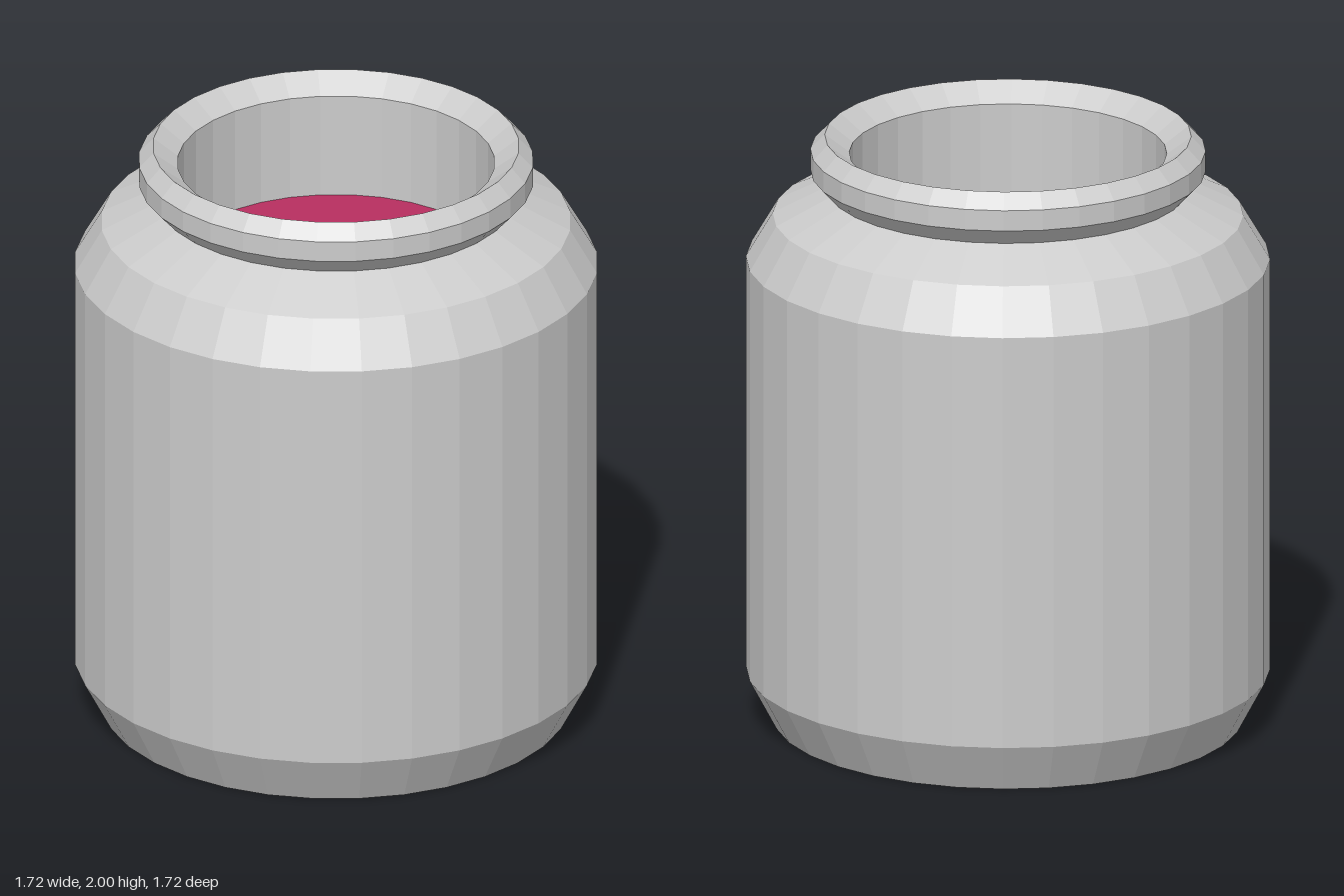
import * as THREE from 'three';

const SIDES = 32;
const material = (color) => new THREE.MeshStandardMaterial({ color, flatShading: true });

function addPart(parent, name, geometry, color, y = 0) {
  const mesh = new THREE.Mesh(geometry, material(color));
  mesh.name = name;
  mesh.position.y = y;
  parent.add(mesh);
  return mesh;
}

export function createModel() {
  const jar = new THREE.Group();
  jar.name = 'jar';
  const fillLevel = 1.585;

  // Faceted shell: base, chamfers, wall, shoulder, neck, rim and inner wall
  const profile = [
    [0, 0], [0.768, 0], [0.858, 0.17], [0.858, 1.58], [0.77, 1.73], [0.592, 1.82],
    [0.647, 1.88], [0.647, 1.95], [0.6, 2], [0.52, 1.94], [0.52, fillLevel],
  ].map(([r, y]) => new THREE.Vector2(r, y));
  const shell = addPart(jar, 'jarShell', new THREE.LatheGeometry(profile, SIDES), 0xcccccc);
  shell.rotation.y = 0.03;

  // Coloured surface of the contents
  const surface = new THREE.CircleGeometry(0.52, SIDES).rotateX(-Math.PI / 2);
  addPart(jar, 'contents', surface, 0xb82f60, fillLevel).rotation.y = 0.03;

  // Small dark peg in the middle of the contents
  addPart(jar, 'centrePeg', new THREE.BoxGeometry(0.036, 0.036, 0.036), 0x333333, fillLevel + 0.018);

  return jar;
}
